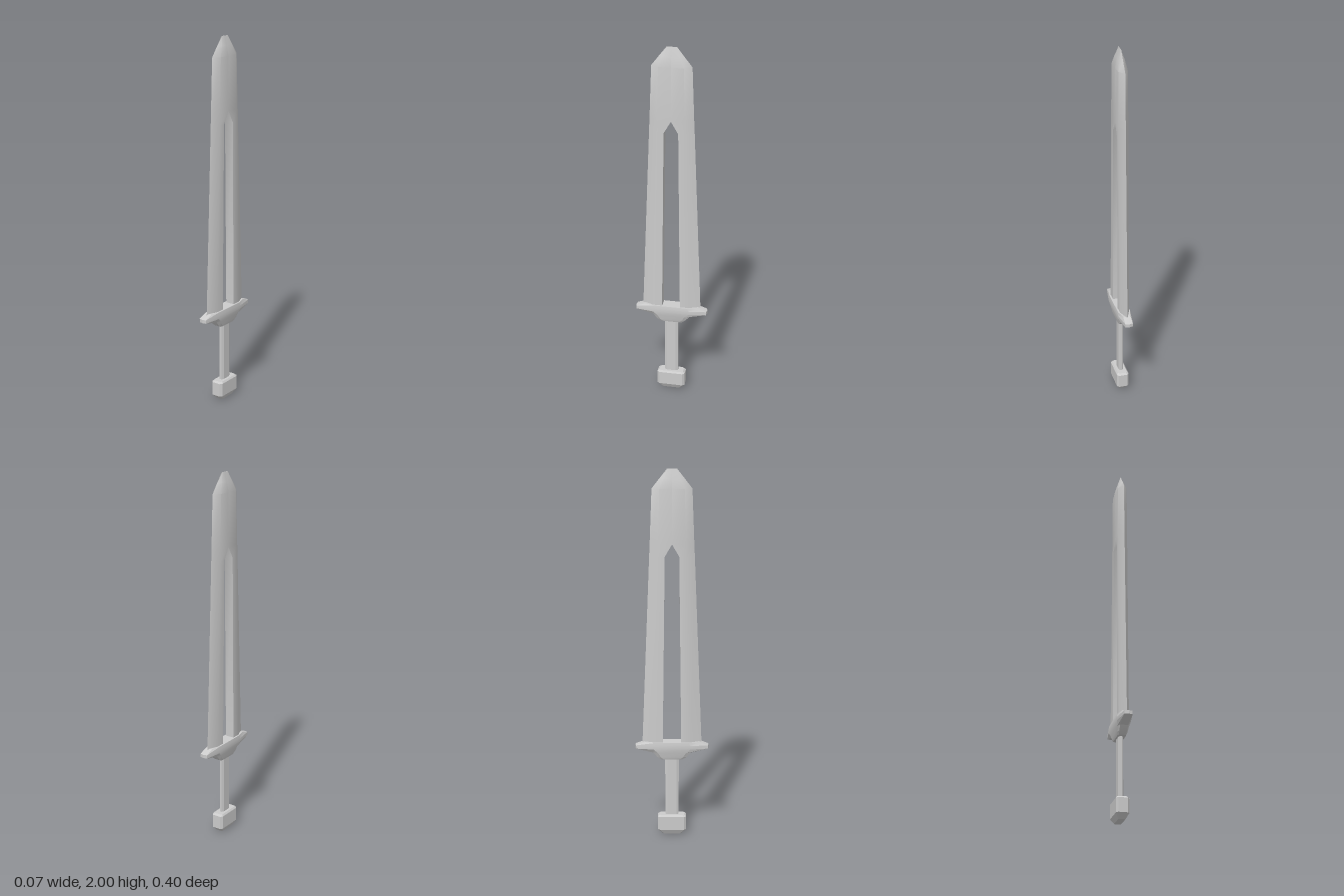
import * as THREE from 'three';
import { toCreasedNormals } from 'three/addons/utils/BufferGeometryUtils.js';

const material = new THREE.MeshStandardMaterial({ color: 0xcccccc });

// Skins a stack of horizontal loops; each ring is [y, [[x, z], ...]], counter-clockwise from above.
function loft(name, rings, crease) {
  const pos = [], index = [], n = rings[0][1].length;
  for (const [y, loop] of rings) for (const [x, z] of loop) pos.push(x, y, z);
  for (let i = 0; i < rings.length - 1; i++) {
    for (let j = 0; j < n; j++) {
      const a = i * n + j, b = i * n + (j + 1) % n;
      index.push(a, b, b + n, a, b + n, a + n);
    }
  }
  const top = (rings.length - 1) * n;
  for (let j = 1; j < n - 1; j++) {
    index.push(0, j + 1, j);
    index.push(top, top + j, top + j + 1);
  }
  let geo = new THREE.BufferGeometry();
  geo.setAttribute('position', new THREE.Float32BufferAttribute(pos, 3));
  geo.setIndex(index);
  geo = toCreasedNormals(geo, crease);
  const mesh = new THREE.Mesh(geo, material);
  mesh.name = name;
  return mesh;
}

// Elongated outline: half width w up to z = s, then narrowing to half width e at z = l.
const outline = (w, s, e, l, point = 0) => [
  [w, s], [w, -s], [e, -l], [0, -l - point], [-e, -l],
  [-w, -s], [-w, s], [-e, l], [0, l + point], [e, l],
];

export function createModel() {
  const sword = new THREE.Group();
  sword.name = 'sword';

  // Blade: two mirrored halves that meet above a pointed central slot.
  // Rows: y, half thickness, slot edge, bevel ridge, cutting edge.
  const rows = [
    [0.51, 0.025, 0.05, 0.1, 0.161],
    [1.55, 0.025, 0.038, 0.075, 0.119],
    [1.615, 0.025, 0, 0.073, 0.116],
    [1.9, 0.025, 0, 0.065, 0.105],
    [1.95, 0.015, 0, 0.043, 0.066],
    [2.0, 0.0005, 0, 0.02, 0.027],
  ];
  const rings = rows.map(([y, t, slot, ridge, edge]) =>
    [y, [[t, ridge], [t, slot], [-t, slot], [-t, ridge], [0, edge]]]);
  for (const side of [0, 1]) {
    const half = loft(side ? 'bladeBackHalf' : 'bladeFrontHalf', rings, 0.6);
    half.rotation.y = side * Math.PI;
    sword.add(half);
  }

  // Guard with tapering arms and a stepped collar below
  sword.add(loft('guard', [
    [0.436, outline(0.022, 0.045, 0.018, 0.06)],
    [0.45, outline(0.027, 0.06, 0.02, 0.08)],
    [0.475, outline(0.031, 0.075, 0.021, 0.1)],
    [0.498, outline(0.036, 0.1, 0.021, 0.194, 0.005)],
    [0.517, outline(0.036, 0.1, 0.021, 0.194, 0.005)],
    [0.535, outline(0.034, 0.09, 0.02, 0.145, 0.004)],
  ], 0.3));

  // Flat eight-sided grip
  sword.add(loft('grip', [
    [0.1, outline(0.013, 0.024, 0.006, 0.037)],
    [0.445, outline(0.013, 0.024, 0.006, 0.037)],
  ], 0.3));

  // Chamfered block pommel
  sword.add(loft('pommel', [
    [0, outline(0.018, 0.045, 0.014, 0.05)],
    [0.028, outline(0.034, 0.066, 0.024, 0.078)],
    [0.103, outline(0.034, 0.066, 0.024, 0.078)],
    [0.112, outline(0.027, 0.058, 0.018, 0.068)],
  ], 0.3));

  return sword;
}
